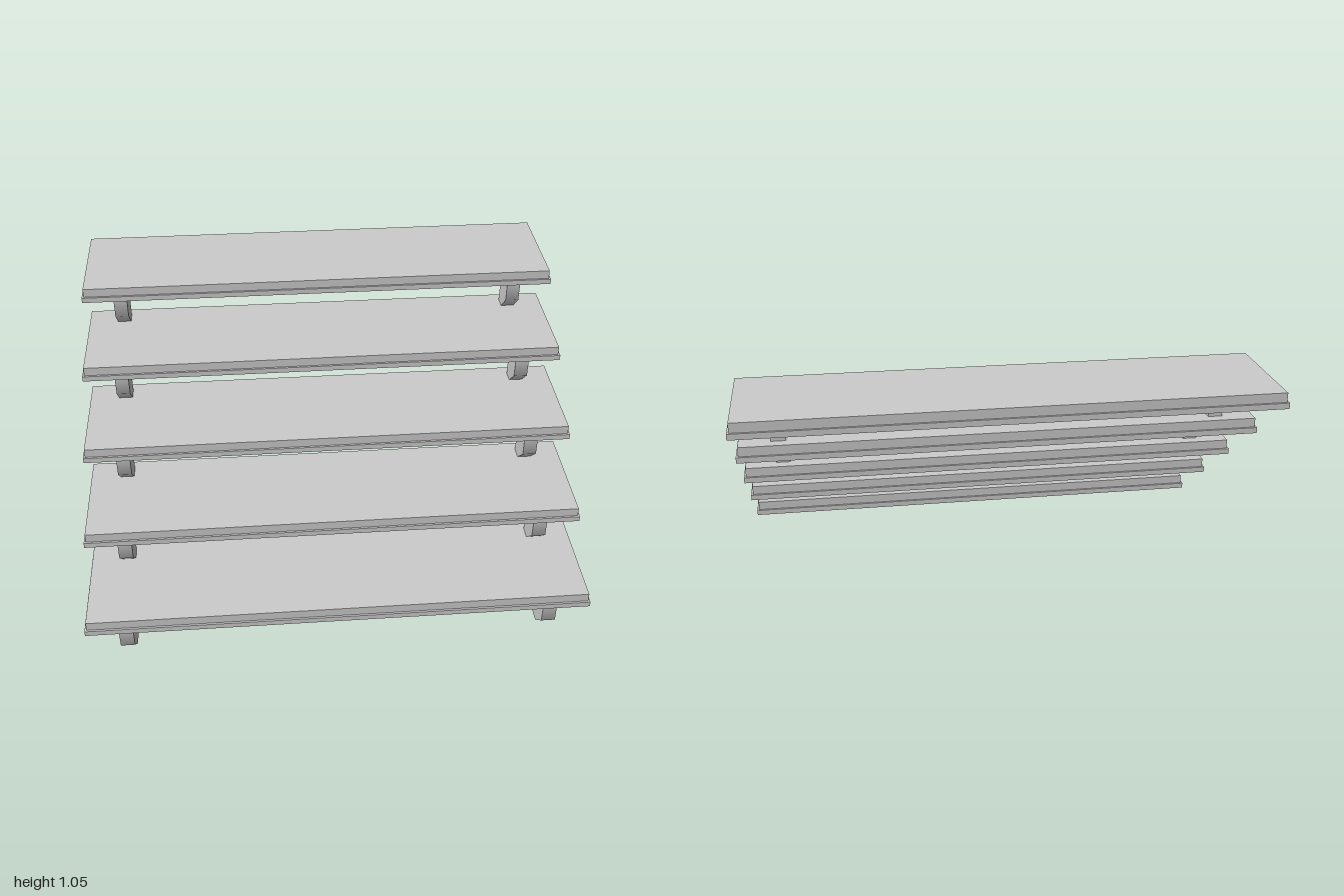
import * as THREE from 'three';

const material = new THREE.MeshStandardMaterial({ color: 0xcccccc });
const hollowMaterial = new THREE.MeshStandardMaterial({ color: 0xcccccc, side: THREE.DoubleSide });

const STEPS = 5, RISE = 0.21, RUN = 0.275;
const SUPPORT_WIDTH = 0.056, SUPPORT_HEIGHT = 0.155, CHAMFER_Y = 0.072;

// Support bracket: chamfered front, hollow at the foot, softened front bend
function supportGeometry() {
  const profile = new THREE.Shape([
    [0.095, 0], [0.145, 0], [0.217, CHAMFER_Y], [0.217, SUPPORT_HEIGHT], [0.095, SUPPORT_HEIGHT],
  ].map(([z, y]) => new THREE.Vector2(z, y)));
  const solid = new THREE.ExtrudeGeometry(profile, { depth: SUPPORT_WIDTH, bevelEnabled: false });
  solid.translate(0, 0, -SUPPORT_WIDTH / 2).rotateY(-Math.PI / 2);

  const p = solid.attributes.position, n = solid.attributes.normal;
  const positions = [], normals = [];
  for (let i = 0; i < p.count; i += 3) {
    if (n.getY(i) < -0.9) continue; // leave the foot open
    for (let j = i; j < i + 3; j++) {
      positions.push(p.getX(j), p.getY(j), p.getZ(j));
      const bend = n.getZ(j) > 0.5 && Math.abs(p.getY(j) - CHAMFER_Y) < 0.001;
      normals.push(...(bend ? [0, -0.383, 0.924] : [n.getX(j), n.getY(j), n.getZ(j)]));
    }
  }
  const geometry = new THREE.BufferGeometry();
  geometry.setAttribute('position', new THREE.Float32BufferAttribute(positions, 3));
  geometry.setAttribute('normal', new THREE.Float32BufferAttribute(normals, 3));
  return geometry;
}

function addPart(parent, name, geometry, x, y, z, mat = material) {
  const mesh = new THREE.Mesh(geometry, mat);
  mesh.name = name;
  mesh.position.set(x, y, z);
  parent.add(mesh);
}

export function createModel() {
  const model = new THREE.Group();
  model.name = 'openStaircase';

  const trayGeometry = new THREE.BoxGeometry(2, 0.023, 0.46);
  const treadGeometry = new THREE.BoxGeometry(1.984, 0.037, 0.444);
  const bracketGeometry = supportGeometry();

  for (let i = 0; i < STEPS; i++) {
    const step = new THREE.Group();
    step.name = `step${i + 1}`;
    step.position.set(0, i * RISE, 0.55 - i * RUN);

    // Wider tray below, slightly smaller tread on top
    addPart(step, 'tray', trayGeometry, 0, 0.1645, 0);
    addPart(step, 'tread', treadGeometry, 0, 0.1945, 0);

    // Pair of supports, standing on the step below
    addPart(step, 'leftSupport', bracketGeometry, 0.843, 0, 0, hollowMaterial);
    addPart(step, 'rightSupport', bracketGeometry, -0.843, 0, 0, hollowMaterial);
    model.add(step);
  }
  return model;
}
